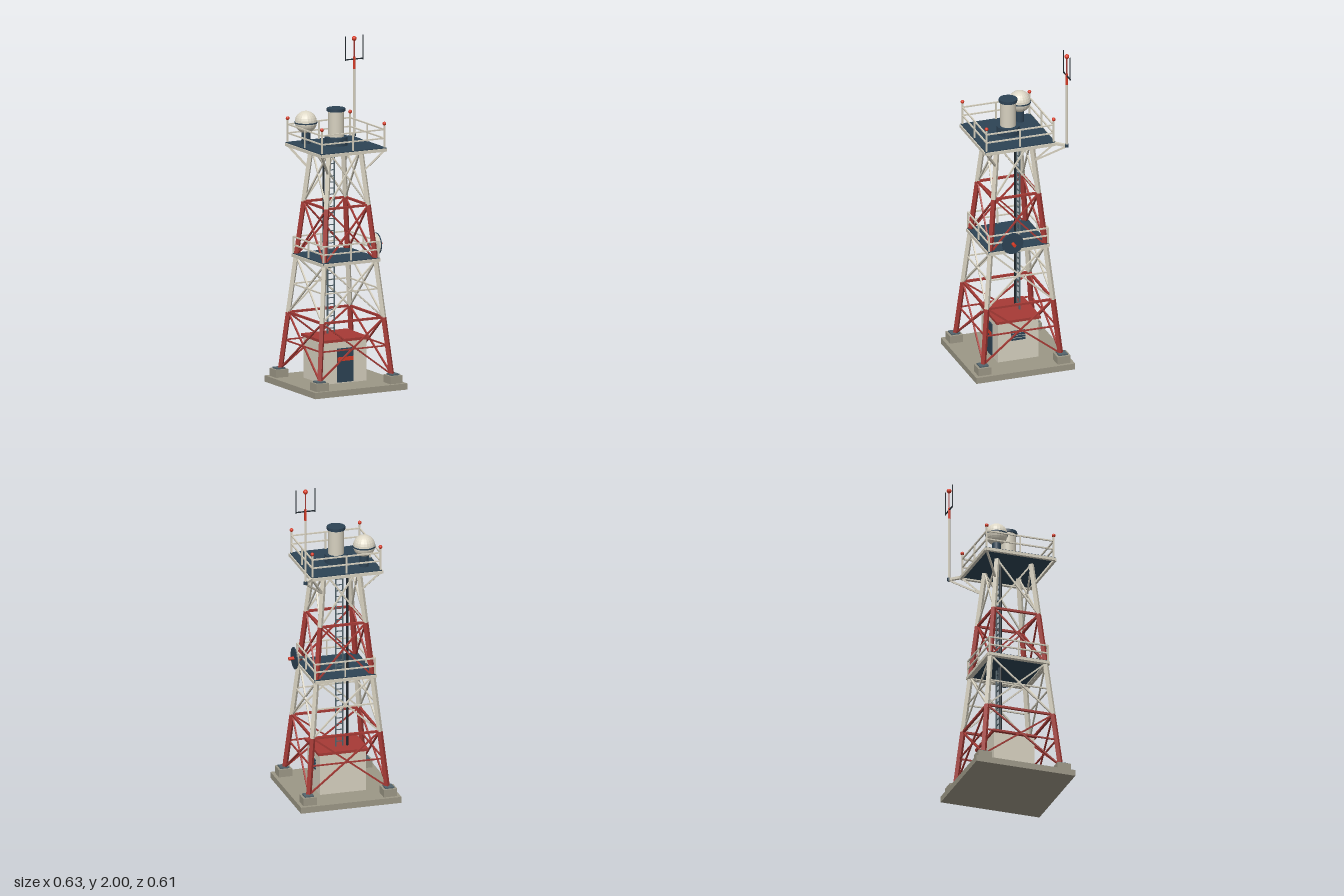
import * as THREE from 'three';

const mat = (name, color) => {
  const m = new THREE.MeshStandardMaterial({ color });
  m.name = name;
  return m;
};

export function createModel() {
  const concrete = mat('concrete', 0x9c9786);
  const cream = mat('cream', 0xd6d0bf);
  const red = mat('towerRed', 0xa63a35);
  const signal = mat('signalRed', 0xd83a25);
  const navy = mat('navy', 0x2d4355);
  const steel = mat('steel', 0x53646c);
  const dark = mat('dark', 0x20282e);
  const domeMat = mat('domeCream', 0xddd7c6);
  domeMat.flatShading = true;

  const root = new THREE.Group();
  root.name = 'latticeTower';
  const tower = new THREE.Group();
  tower.name = 'tower';
  tower.position.x = -0.013;
  root.add(tower);

  const add = (name, geo, m, x = 0, y = 0, z = 0) => {
    const mesh = new THREE.Mesh(geo, m);
    mesh.name = name;
    mesh.position.set(x, y, z);
    tower.add(mesh);
    return mesh;
  };
  const box = (name, m, w, h, d, x, y, z) => add(name, new THREE.BoxGeometry(w, h, d), m, x, y, z);
  // upright cylinder between two heights
  const drum = (name, m, r, y0, y1, x, z, n = 24) =>
    add(name, new THREE.CylinderGeometry(r, r, y1 - y0, n), m, x, (y0 + y1) / 2, z);
  // square bar between two points
  const bar = (name, m, a, b, t) => {
    const p = new THREE.Vector3(...a), q = new THREE.Vector3(...b);
    const mesh = add(name, new THREE.BoxGeometry(t, t, p.distanceTo(q)), m);
    mesh.position.copy(p).add(q).multiplyScalar(0.5);
    mesh.lookAt(q.clone().add(new THREE.Vector3(tower.position.x, 0, 0)).sub(new THREE.Vector3(tower.position.x, 0, 0)));
    return mesh;
  };
  tower.position.x = 0; // bars are aimed in local space, the offset is applied at the end

  const corners = [[1, 1], [-1, 1], [-1, -1], [1, -1]];
  const half = (y) => 0.237 - 0.1 * (y - 0.09);
  const at = (c, y) => [c[0] * half(y), y, c[1] * half(y)];

  // Foundation
  box('baseSlab', concrete, 0.61, 0.037, 0.61, 0, 0.0185, 0);
  for (const [sx, sz] of corners) {
    box('footing', concrete, 0.081, 0.046, 0.081, sx * 0.244, 0.06, sz * 0.244);
    box('footPlate', steel, 0.055, 0.008, 0.055, sx * 0.244, 0.087, sz * 0.244);
  }

  // Legs and lattice, in four alternating bands
  const levels = [0.085, 0.42, 0.757, 1.08, 1.41];
  for (let i = 0; i < 4; i++) {
    const m = i % 2 ? cream : red;
    const y0 = levels[i], y1 = levels[i + 1];
    corners.forEach((c, k) => {
      const d = corners[(k + 1) % 4];
      bar('leg', m, at(c, y0), at(c, y1), 0.024);
      bar('crossBrace', m, at(c, y0), at(d, y1), 0.009);
      bar('crossBrace', m, at(d, y0), at(c, y1), 0.009);
      if (i < 3) bar('girt', i === 1 ? cream : red, at(c, y1), at(d, y1), 0.013);
      if (i < 2) {
        const ym = i ? 0.59 : 0.255;
        bar('middleGirt', m, at(c, ym), at(d, ym), 0.008);
      }
    });
  }

  // Platforms with railings
  const platform = (name, y, r, railR, railYs, postTop) => {
    box(name + 'Deck', navy, 2 * r - 0.008, 0.014, 2 * r - 0.008, 0, y - 0.007, 0);
    corners.forEach((c, k) => {
      const d = corners[(k + 1) % 4];
      const p = (q, s, h) => [q[0] * s, h, q[1] * s];
      bar(name + 'Frame', cream, p(c, r - 0.006, y - 0.014), p(d, r - 0.006, y - 0.014), 0.018);
      for (const h of railYs) bar(name + 'Rail', cream, p(c, railR, h), p(d, railR, h), 0.008);
      bar(name + 'Post', cream, p(c, railR, y), p(c, railR, postTop), 0.009);
      const mx = (c[0] + d[0]) / 2 * railR, mz = (c[1] + d[1]) / 2 * railR;
      bar(name + 'Post', cream, [mx, y, mz], [mx, railYs[0], mz], 0.008);
    });
  };
  platform('middle', 0.772, 0.19, 0.182, [0.868, 0.82], 0.87);
  platform('top', 1.426, 0.219, 0.207, [1.532, 1.48], 1.56);
  for (const c of corners) {
    add('warningLamp', new THREE.SphereGeometry(0.011, 14, 10), signal, c[0] * 0.207, 1.567, c[1] * 0.207);
    bar('kneeBrace', cream, at(c, 1.28), [c[0] * 0.205, 1.405, c[1] * 0.205], 0.011);
  }

  // Equipment hut
  box('hut', cream, 0.278, 0.25, 0.25, 0, 0.162, -0.012);
  box('hutRoof', red, 0.304, 0.016, 0.272, 0, 0.291, -0.012);
  box('door', navy, 0.104, 0.2, 0.008, -0.003, 0.143, 0.117);
  box('doorStripe', signal, 0.104, 0.024, 0.004, -0.003, 0.181, 0.122);
  for (let i = 0; i < 4; i++) box('louvre', navy, 0.009, 0.01, 0.086, 0.142, 0.17 + i * 0.0165, -0.012);

  // Ladder and cable pipe
  for (const s of [-1, 1]) box('ladderRail', steel, 0.007, 1.12, 0.007, s * 0.022, 0.86, -0.063);
  for (let y = 0.33; y < 1.41; y += 0.036) box('ladderRung', steel, 0.044, 0.005, 0.005, 0, y, -0.063);
  drum('cablePipe', dark, 0.007, 0.3, 1.415, -0.048, -0.063, 10);

  // Central drum on the roof deck
  drum('drumBase', navy, 0.068, 1.426, 1.476, 0, 0);
  drum('drumBody', cream, 0.046, 1.476, 1.626, 0, 0);
  drum('drumCap', navy, 0.054, 1.626, 1.644, 0, 0);

  // Radome
  drum('domePedestal', navy, 0.026, 1.426, 1.51, -0.134, -0.12, 16);
  add('dome', new THREE.SphereGeometry(0.065, 20, 14), domeMat, -0.134, 1.553, -0.12);
  drum('domeBand', navy, 0.0665, 1.546, 1.554, -0.134, -0.12);

  // Side dish facing +x
  const dish = new THREE.Group();
  dish.name = 'dish';
  dish.position.set(0.218, 0.828, 0.056);
  dish.rotation.z = -Math.PI / 2;
  const dishPart = (name, geo, m, y) => {
    const mesh = new THREE.Mesh(geo, m);
    mesh.name = name;
    mesh.position.y = y;
    dish.add(mesh);
  };
  dishPart('dishBowl', new THREE.CylinderGeometry(0.062, 0.045, 0.014, 24), cream, 0.008);
  dishPart('dishFace', new THREE.CylinderGeometry(0.065, 0.065, 0.006, 24), navy, 0.018);
  dishPart('dishFeed', new THREE.CylinderGeometry(0.01, 0.01, 0.032, 12), signal, 0.037);
  tower.add(dish);
  bar('dishMount', steel, [0.18, 0.828, 0.056], [0.222, 0.828, 0.056], 0.012);

  // Antenna mast on an outrigger
  const mx = 0.267, mz = -0.267;
  bar('outrigger', cream, [0.2, 1.416, -0.2], [mx, 1.416, mz], 0.016);
  bar('outriggerStrut', cream, at([1, -1], 1.28), [mx, 1.412, mz], 0.01);
  drum('mastFoot', navy, 0.011, 1.408, 1.426, mx, mz, 12);
  drum('mastLower', cream, 0.007, 1.426, 1.805, mx, mz, 12);
  drum('mastBand', signal, 0.0072, 1.805, 1.875, mx, mz, 12);
  drum('mastTip', red, 0.004, 1.875, 1.98, mx, mz, 10);
  add('mastLamp', new THREE.SphereGeometry(0.014, 16, 12), signal, mx, 1.984, mz);
  box('antennaCrossbar', dark, 0.12, 0.006, 0.006, mx, 1.862, mz);
  for (const s of [-1, 1]) drum('antennaRod', dark, 0.003, 1.855, 2, mx + s * 0.058, mz, 8);

  tower.position.x = -0.013;
  return root;
}
